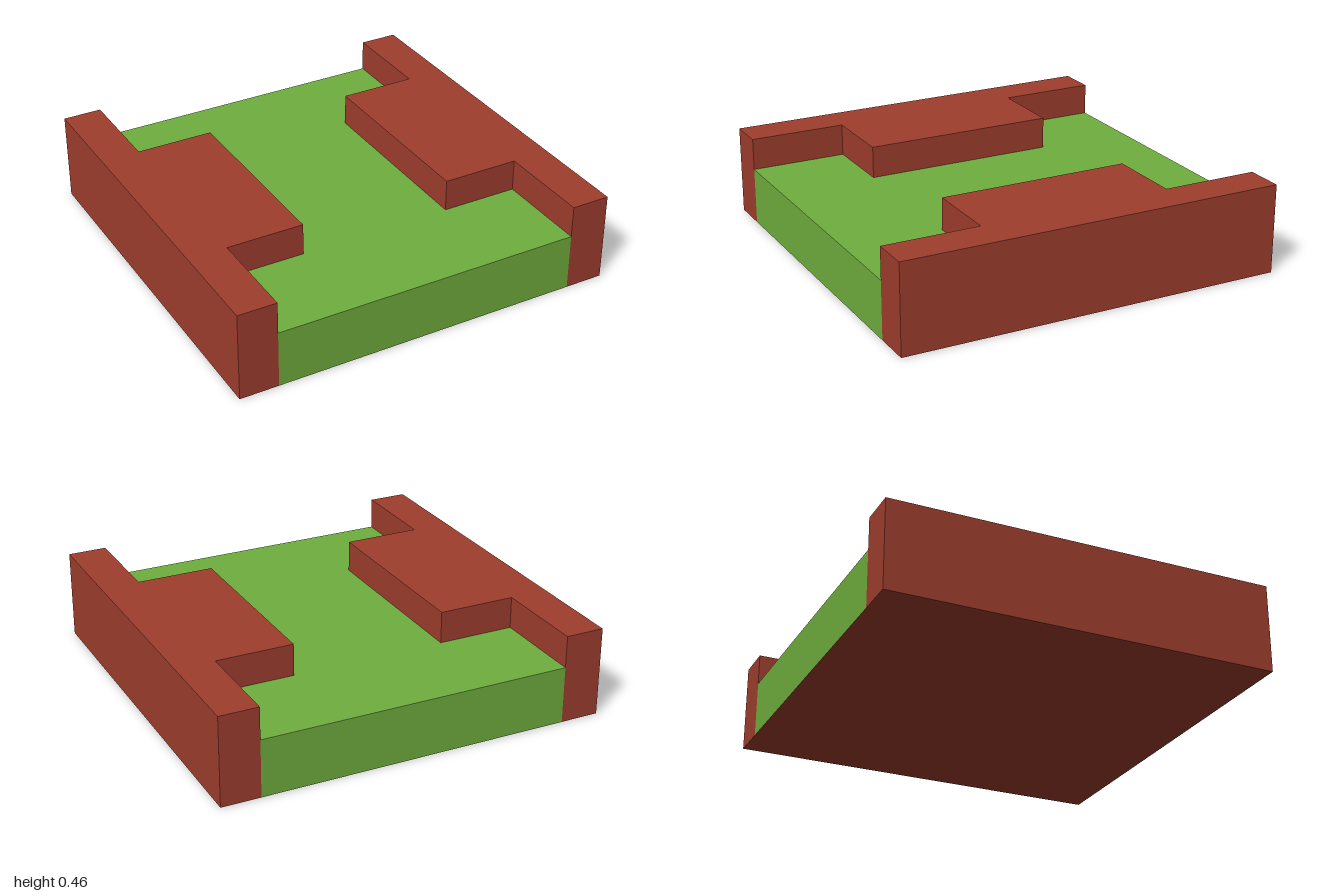
import * as THREE from 'three';

export function createModel() {
  const model = new THREE.Group();
  const red = new THREE.MeshStandardMaterial({ color: 0xa03e2e, flatShading: true });
  const green = new THREE.MeshStandardMaterial({ color: 0x70af3e, flatShading: true });
  const floorTop = 0.295, wallTop = 0.46;

  // Green floor slab between the walls, with a red underside
  const floor = new THREE.Mesh(
    new THREE.BoxGeometry(1.6, floorTop, 2),
    [green, green, green, red, green, green]
  );
  floor.name = 'floor';
  floor.position.y = floorTop / 2;
  model.add(floor);

  // Side wall with a wide block stepping inward at mid-length
  function addWall(name, side) {
    const outline = [
      [1, -1], [1, 1], [0.8, 1], [0.8, 0.5],
      [0.4, 0.5], [0.4, -0.5], [0.8, -0.5], [0.8, -1],
    ].map(([x, z]) => new THREE.Vector2(side * x, z));
    const geometry = new THREE.ExtrudeGeometry(new THREE.Shape(outline), {
      depth: wallTop, bevelEnabled: false,
    });
    geometry.rotateX(-Math.PI / 2);
    const wall = new THREE.Mesh(geometry, red);
    wall.name = name;
    model.add(wall);
  }
  addWall('leftWall', 1);
  addWall('rightWall', -1);

  return model;
}
